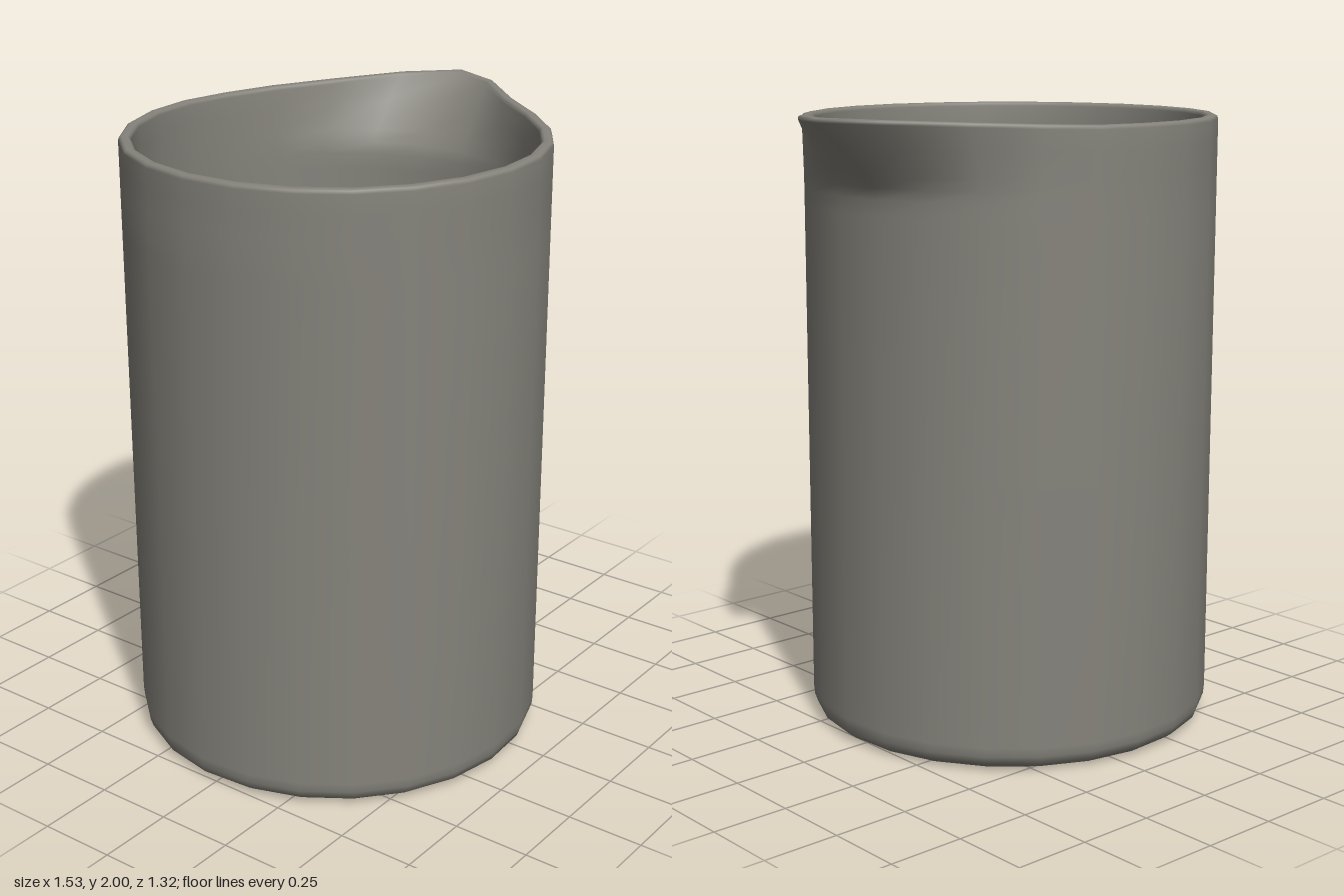
import * as THREE from 'three';

const SIDES = 24;
const STEP = 15;      // degrees between wall edges
const START = 3.5;    // angle of the first edge
const CENTRE_X = -0.11;

// Spout shape by edge index: [turn in degrees, extra radius, lift of the rim]
const SPOUT = {
  20: [0, 0.005, 0.005],
  21: [3, 0.04, 0.012],
  22: [5.5, 0.144, 0.02],
  23: [3, 0.226, 0.025],
  0: [-1, 0.152, 0.022],
  1: [-2, 0.04, 0.013],
  2: [0, 0.005, 0.005],
};

// Wall section from the underside, up the outside, over the rim and down to the floor:
// [radius, height, share of the spout shape]
const PROFILE = [
  [0.6, 0, 0], [0.625, 0.008, 0], [0.648, 0.025, 0], [0.657, 0.05, 0], [0.66, 0.08, 0],
  [0.66, 0.9, 0], [0.66, 1.7, 0], [0.66, 1.75, 0.01], [0.66, 1.785, 0.06], [0.66, 1.82, 0.2],
  [0.66, 1.9, 0.6], [0.66, 1.962, 0.97], [0.657, 1.971, 1], [0.65, 1.975, 1],
  [0.632, 1.975, 1], [0.625, 1.971, 1], [0.622, 1.962, 0.98],
  [0.62, 1.9, 0.62], [0.62, 1.82, 0.22], [0.62, 1.785, 0.07], [0.62, 1.75, 0.01],
  [0.62, 1.7, 0], [0.62, 0.9, 0], [0.62, 0.1, 0], [0.612, 0.07, 0], [0.595, 0.053, 0], [0.565, 0.045, 0],
];

function wallPoint([radius, height, share], i) {
  const [turn, extra, lift] = SPOUT[i] || [0, 0, 0];
  const angle = THREE.MathUtils.degToRad(START + i * STEP + turn * share);
  const r = radius + extra * share;
  return [CENTRE_X + r * Math.cos(angle), height + lift * share, r * Math.sin(angle)];
}

function jugGeometry() {
  const positions = [];
  const index = [];
  const last = PROFILE.length - 1;
  for (const ring of PROFILE) {
    for (let i = 0; i < SIDES; i++) positions.push(...wallPoint(ring, i));
  }
  // Centres of the underside and the inner floor
  const under = PROFILE.length * SIDES;
  positions.push(CENTRE_X, 0, 0, CENTRE_X, PROFILE[last][1], 0);

  for (let i = 0; i < SIDES; i++) {
    const n = (i + 1) % SIDES;
    for (let j = 0; j < last; j++) {
      const a = j * SIDES + i, b = j * SIDES + n;
      const c = a + SIDES, d = b + SIDES;
      index.push(a, c, b, b, c, d);
    }
    index.push(under, i, n);
    index.push(under + 1, last * SIDES + n, last * SIDES + i);
  }

  const geometry = new THREE.BufferGeometry();
  geometry.setAttribute('position', new THREE.Float32BufferAttribute(positions, 3));
  geometry.setIndex(index);
  geometry.computeVertexNormals();
  return geometry;
}

export function createModel() {
  const group = new THREE.Group();
  group.name = 'jug';
  // One continuous shell: base, wall, spout, rim and interior
  const body = new THREE.Mesh(jugGeometry(), new THREE.MeshStandardMaterial({ color: 0x85837b }));
  body.name = 'jugBody';
  group.add(body);
  return group;
}
